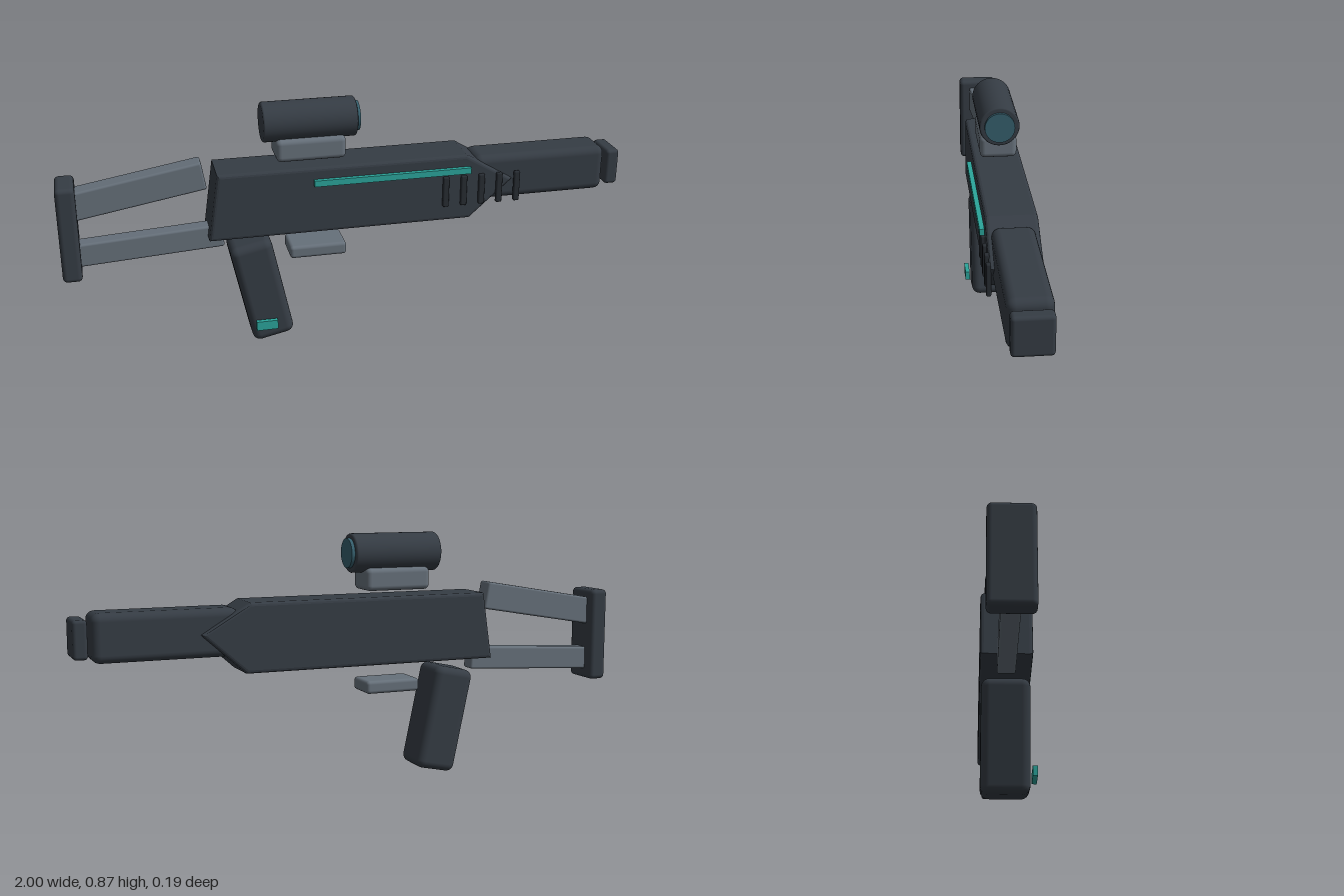
import * as THREE from 'three';
import { RoundedBoxGeometry } from 'three/addons/geometries/RoundedBoxGeometry.js';

const MID = -0.007; // depth of the centre plane

export function createModel() {
  const root = new THREE.Group();
  root.name = 'toyBlaster';

  const material = (name, color) => {
    const m = new THREE.MeshStandardMaterial({ color });
    m.name = name;
    return m;
  };
  const dark = material('charcoal', 0x353c44);
  const black = material('ventBlack', 0x272c32);
  const grey = material('steelGrey', 0x66707a);
  const teal = material('teal', 0x2ba59b);
  const glass = material('lensBlue', 0x365f6d);

  const add = (name, geometry, mat, x, y, z = MID, angle = 0) => {
    const mesh = new THREE.Mesh(geometry, mat);
    mesh.name = name;
    mesh.position.set(x, y, z);
    mesh.rotation.z = THREE.MathUtils.degToRad(angle);
    root.add(mesh);
    return mesh;
  };
  const rounded = (w, h, d, r) => new RoundedBoxGeometry(w, h, d, 3, r);

  // Receiver: slanted rear, pointed nose, bevelled edges
  const bevel = 0.012, depth = 0.17;
  const profile = new THREE.Shape([
    [-0.5, 0.415], [0.43, 0.415], [0.585, 0.553], [0.415, 0.655], [-0.465, 0.655],
  ].map(([x, y]) => new THREE.Vector2(x, y)));
  const receiver = new THREE.ExtrudeGeometry(profile, {
    depth: depth - 2 * bevel, bevelEnabled: true, bevelThickness: bevel,
    bevelSize: bevel, bevelOffset: -bevel, bevelSegments: 3,
  });
  receiver.translate(0, 0, -depth / 2 + bevel);
  add('receiver', receiver, dark, 0, 0);

  // Barrel shroud and muzzle cap
  add('barrelShroud', rounded(0.49, 0.165, 0.14, 0.028), dark, 0.695, 0.556);
  add('muzzleCap', rounded(0.048, 0.13, 0.128, 0.012), dark, 0.976, 0.555);

  // Skeleton stock
  add('buttPlate', rounded(0.066, 0.342, 0.146, 0.016), dark, -0.967, 0.475);
  add('upperStrut', rounded(0.48, 0.1, 0.07, 0.008), grey, -0.74, 0.599, MID, 9.7);
  add('lowerStrut', rounded(0.52, 0.083, 0.06, 0.008), grey, -0.705, 0.396, MID, 3.3);

  // Grip and trigger block
  add('grip', rounded(0.15, 0.378, 0.16, 0.028), dark, -0.32, 0.198, MID, 12);
  add('triggerBlock', rounded(0.202, 0.046, 0.128, 0.012), grey, -0.116, 0.333);

  // Scope: mount, softly edged tube, raised lens
  add('scopeMount', rounded(0.242, 0.08, 0.128, 0.018), grey, -0.136, 0.714);
  const tubeProfile = [
    [0, -0.163], [0.063, -0.163], [0.067, -0.161], [0.069, -0.157],
    [0.069, 0.157], [0.067, 0.161], [0.063, 0.163], [0, 0.163],
  ].map(([r, y]) => new THREE.Vector2(r, y));
  add('scopeTube', new THREE.LatheGeometry(tubeProfile, 40), dark, -0.137, 0.805, MID, -90);
  add('scopeLens', new THREE.CylinderGeometry(0.052, 0.052, 0.03, 40), glass, 0.023, 0.805, MID, -90);

  // Glowing strips on the left-hand face
  add('sideStrip', new THREE.BoxGeometry(0.56, 0.022, 0.016), teal, 0.145, 0.604, 0.088);
  add('gripStrip', new THREE.BoxGeometry(0.076, 0.034, 0.016), teal, -0.312, 0.078, 0.088);

  // Row of vent ribs
  for (let i = 0; i < 5; i++) {
    add(`ventRib${i + 1}`, rounded(0.022, 0.112, 0.016, 0.005), black, 0.337 + i * 0.0655, 0.528, 0.083);
  }
  return root;
}
